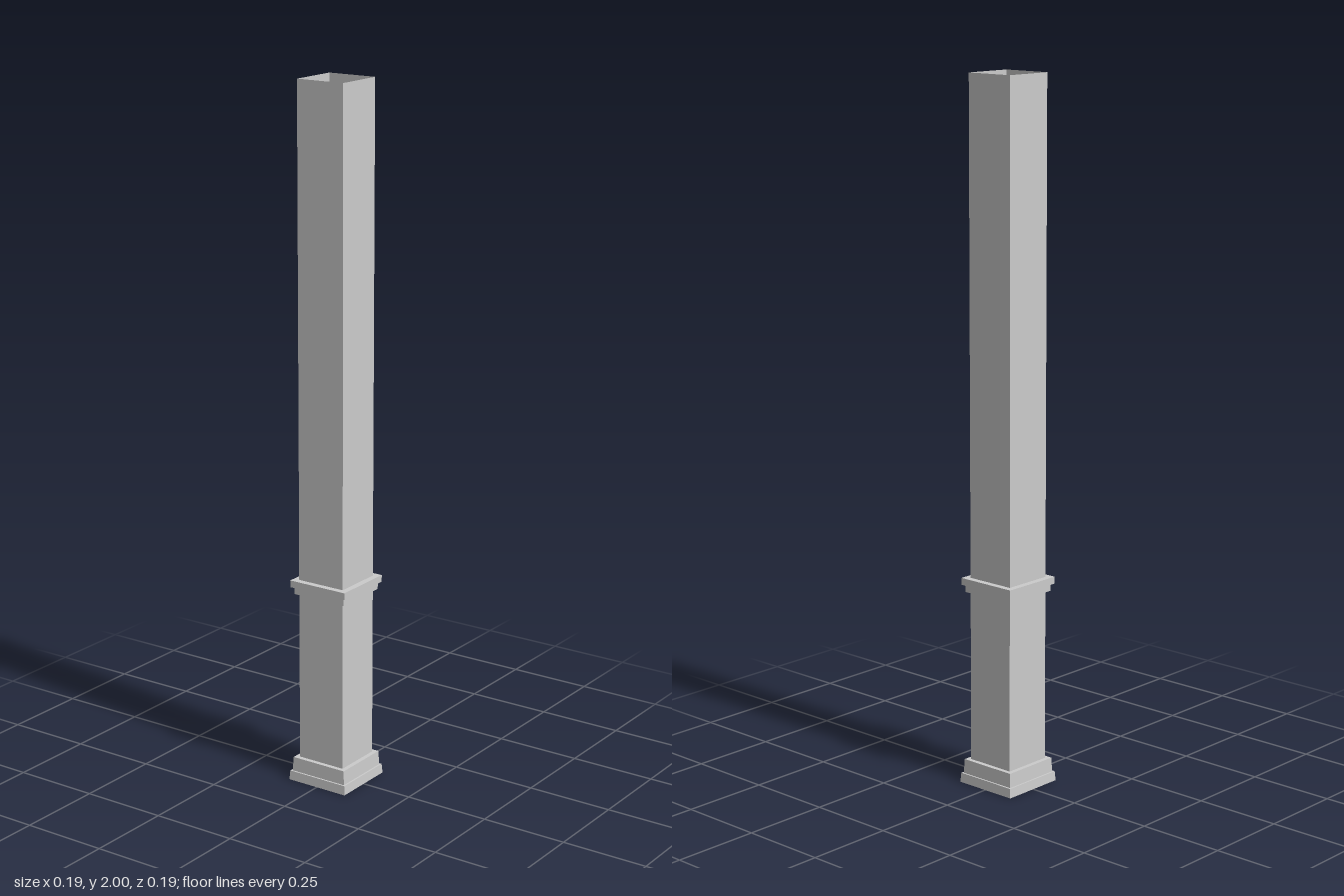
import * as THREE from 'three';

const material = new THREE.MeshStandardMaterial({ color: 0xcccccc, flatShading: true, side: THREE.DoubleSide });
const SHAFT = 0.074; // half width of the square shaft

// Sweeps a [half width, height] profile around a square
function squareSweep(name, profile) {
  const points = profile.map(([half, y]) => new THREE.Vector2(half * Math.SQRT2, y));
  const geometry = new THREE.LatheGeometry(points, 4, Math.PI / 4).toNonIndexed();
  geometry.computeVertexNormals();
  const mesh = new THREE.Mesh(geometry, material);
  mesh.name = name;
  return mesh;
}

export function createModel() {
  const column = new THREE.Group();
  column.name = 'squareColumn';

  // Hollow shaft, open at both ends
  column.add(squareSweep('shaft', [[SHAFT, 0], [SHAFT, 2]]));

  // Stepped base trim with a slightly sloping foot
  column.add(squareSweep('baseTrim', [
    [SHAFT, 0], [0.096, 0], [0.094, 0.027], [0.089, 0.027], [0.087, 0.068], [SHAFT, 0.068],
  ]));

  // Two-step collar, wider on top
  column.add(squareSweep('collar', [
    [SHAFT, 0.562], [0.084, 0.562], [0.084, 0.583], [0.092, 0.583], [0.092, 0.603], [SHAFT, 0.603],
  ]));

  return column;
}
